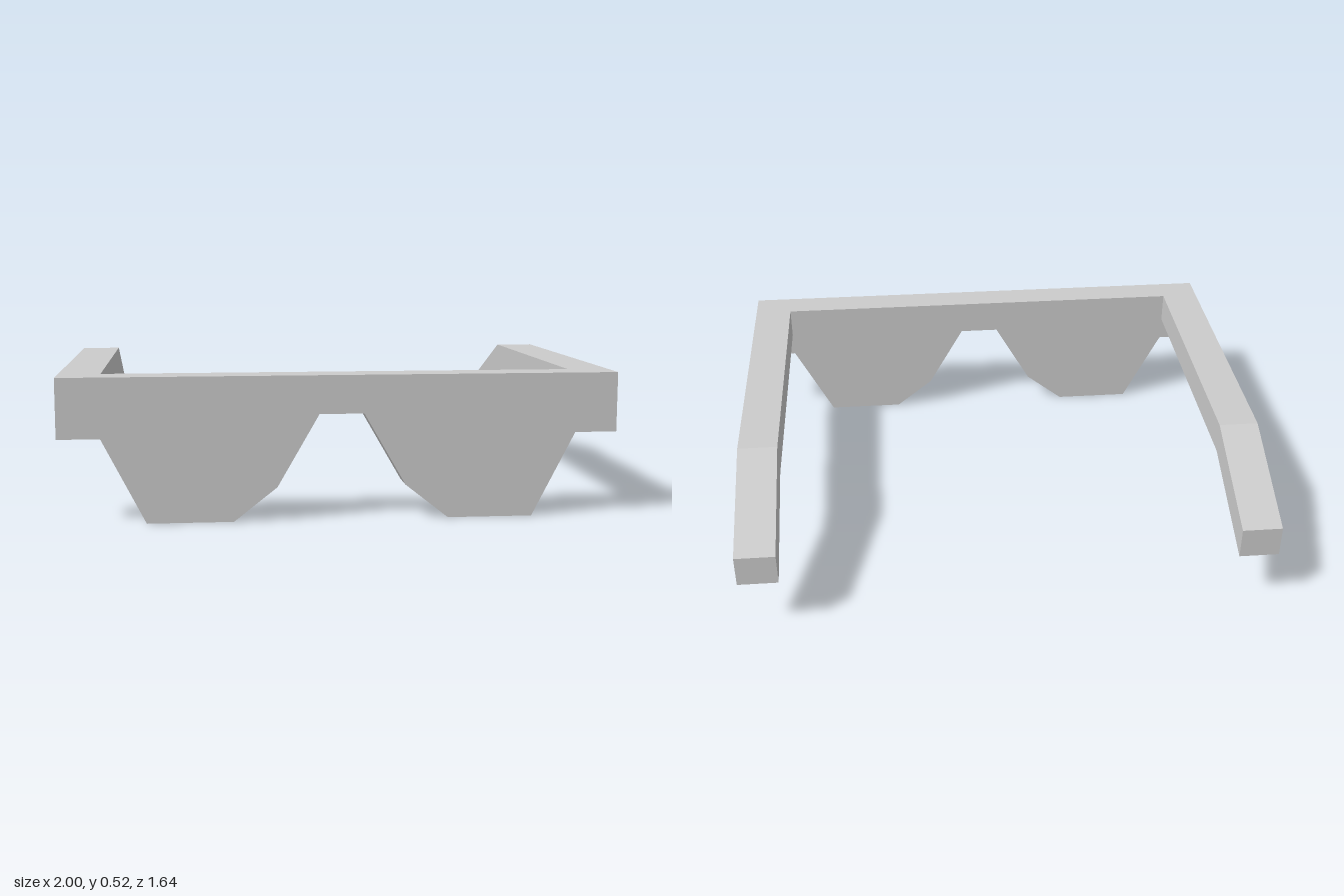
import * as THREE from 'three';

const material = new THREE.MeshStandardMaterial({ color: 0xcccccc, flatShading: true });

const TOP = 0.52, FRONT = 0.82, BACK = -0.82, THICK = 0.12, ARM_WIDTH = 0.15;

// Flat slab with the given outline, extruded along z
function slab(points, depth) {
  const shape = new THREE.Shape(points.map(([x, y]) => new THREE.Vector2(x, y)));
  return new THREE.ExtrudeGeometry(shape, { depth, bevelEnabled: false });
}

export function createModel() {
  const model = new THREE.Group();
  model.name = 'glasses';

  // Front frame and lenses: half outline from the bridge outwards, mirrored
  const half = [
    [0.08, 0.382], [0.23, 0.122], [0.385, 0], [0.692, 0],
    [0.848, 0.304], [1, 0.304], [1, TOP],
  ];
  const mirrored = half.map(([x, y]) => [-x, y]).reverse();
  const frontGeometry = slab([...mirrored, ...half], THICK);
  frontGeometry.translate(0, 0, FRONT - THICK);
  const front = new THREE.Mesh(frontGeometry, material);
  front.name = 'frontFrame';
  model.add(front);

  // Temple arms: side profile as [-z, y], bent down at the ear
  const start = THICK - FRONT, bend = 0.385, drop = 0.18;
  const profile = [
    [start, TOP - THICK], [bend, TOP - THICK], [-BACK, TOP - THICK - drop],
    [-BACK, TOP - drop], [bend, TOP], [start, TOP],
  ];
  for (const [name, x] of [['leftArm', 1 - ARM_WIDTH], ['rightArm', -1]]) {
    const geometry = slab(profile, ARM_WIDTH);
    geometry.rotateY(Math.PI / 2);
    geometry.translate(x, 0, 0);
    const arm = new THREE.Mesh(geometry, material);
    arm.name = name;
    model.add(arm);
  }

  return model;
}
